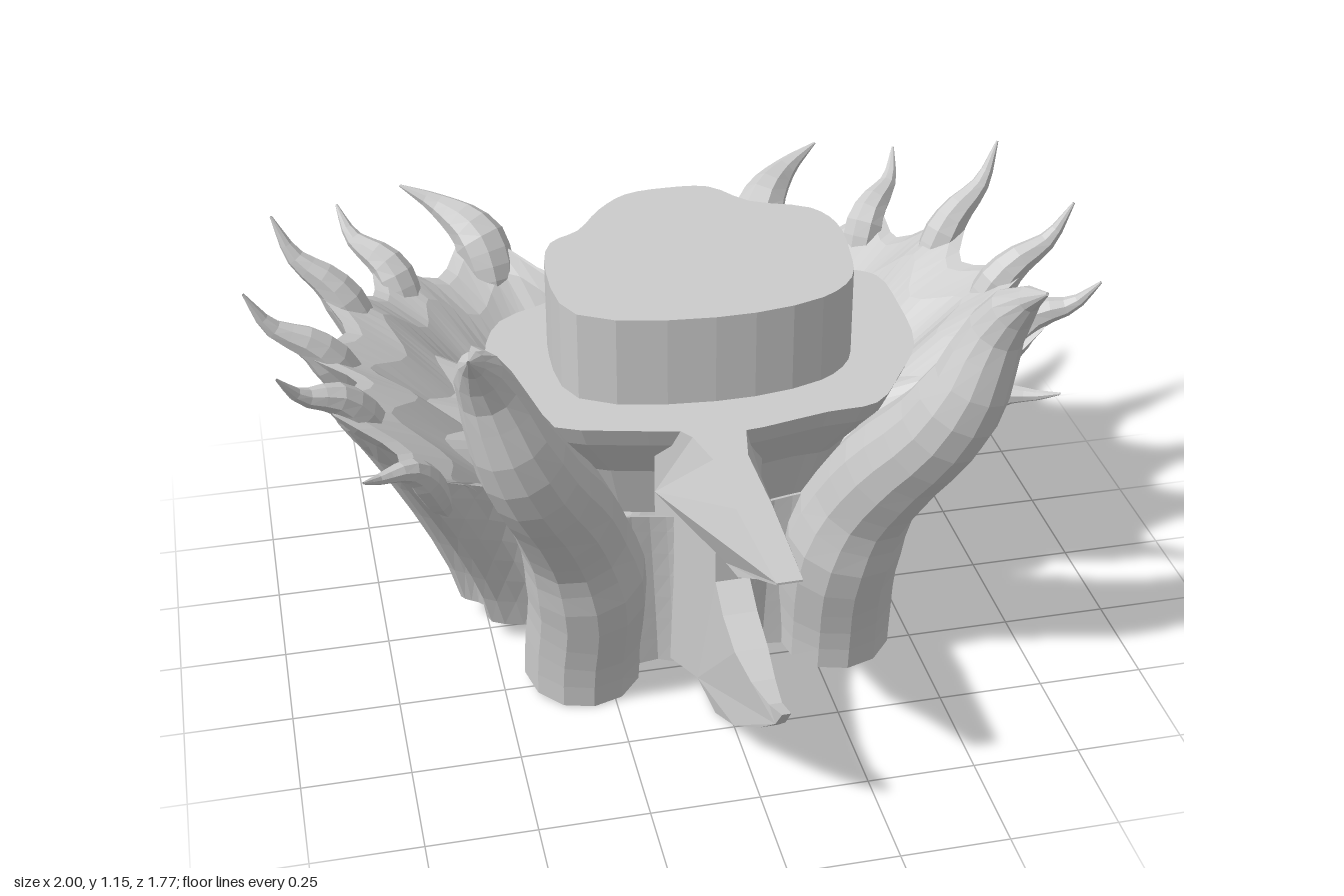
import * as THREE from 'three';

const material = new THREE.MeshStandardMaterial({ color: 0xcccccc, flatShading: true, side: THREE.DoubleSide });
const V = (x, y, z) => new THREE.Vector3(x, y, z);
const floorAt = z => Math.max(0, 0.053 - 0.155 * z); // slanted underside
const CENTRE_Z = -0.15;

function mesh(name, geometry) {
  const m = new THREE.Mesh(geometry, material);
  m.name = name;
  return m;
}

// Skin closed rings of equal length, in order from underside to top.
function loft(rings) {
  const n = rings[0].length, index = [];
  for (let j = 0; j < rings.length - 1; j++) {
    for (let i = 0; i < n; i++) {
      const k = (i + 1) % n, a = j * n + i, b = j * n + k, c = a + n, d = b + n;
      index.push(a, b, d, a, d, c);
    }
  }
  const g = new THREE.BufferGeometry().setFromPoints(rings.flat());
  g.setIndex(index);
  g.computeVertexNormals();
  return g;
}

// Tube whose radius follows a list; optionally cut off at the underside.
function taperedTube(points, radii, segments, sides, cut = false) {
  const curve = new THREE.CatmullRomCurve3(points);
  const g = new THREE.TubeGeometry(curve, segments, 1, sides, false);
  const p = g.attributes.position, v = V(0, 0, 0);
  for (let i = 0; i < p.count; i++) {
    const u = Math.floor(i / (sides + 1)) / segments;
    const f = u * (radii.length - 1), k = Math.min(Math.floor(f), radii.length - 2);
    const r = THREE.MathUtils.lerp(radii[k], radii[k + 1], f - k);
    const c = curve.getPointAt(u);
    v.fromBufferAttribute(p, i).sub(c).multiplyScalar(r).add(c);
    if (cut) v.y = Math.max(v.y, floorAt(v.z));
    p.setXYZ(i, v.x, v.y, v.z);
  }
  g.computeVertexNormals();
  return g;
}

// Thin blade from a (z, y) side profile, widening towards the body.
function blade(profile, tipWidth) {
  const shape = new THREE.Shape(profile.map(([z, y]) => new THREE.Vector2(z, y)));
  const g = new THREE.ExtrudeGeometry(shape, { depth: 0.08, bevelEnabled: false });
  g.translate(0, 0, -0.04).rotateY(-Math.PI / 2);
  const p = g.attributes.position;
  for (let i = 0; i < p.count; i++) {
    const z = p.getZ(i);
    const taper = THREE.MathUtils.lerp(1, tipWidth, THREE.MathUtils.smoothstep(z, 0.55, 0.88));
    p.setX(i, p.getX(i) * taper * (1 + 55 * Math.max(0, 0.4 - z) ** 2));
  }
  g.computeVertexNormals();
  return g;
}

// Body half: rim x, y, z, then base x, z, running from front to back.
const SECTIONS = [
  [0, 0.44, 0.28, 0, 0.33], [0.15, 0.44, 0.24, 0.13, 0.23], [0.32, 0.48, 0.26, 0.32, 0.28],
  [0.43, 0.50, 0.20, 0.42, 0.17], [0.51, 0.52, 0.15, 0.36, 0.08], [0.72, 0.64, 0.25, 0.50, 0.03],
  [0.71, 0.65, 0.17, 0.51, -0.03], [0.86, 0.76, 0.10, 0.56, -0.07], [0.77, 0.73, -0.03, 0.54, -0.13],
  [0.89, 0.77, -0.14, 0.575, -0.19], [0.77, 0.73, -0.27, 0.555, -0.26], [0.82, 0.79, -0.40, 0.57, -0.32],
  [0.68, 0.69, -0.51, 0.55, -0.39], [0.66, 0.72, -0.62, 0.53, -0.46], [0.50, 0.64, -0.66, 0.44, -0.51],
  [0.40, 0.70, -0.78, 0.30, -0.55], [0.19, 0.64, -0.58, 0.14, -0.48], [0, 0.63, -0.52, 0, -0.46],
];

// Wall between base and rim, flaring upwards, pulled in by the given dent.
const wallPoint = (rim, base, s, dent = 0) => {
  const h = Math.pow(s, 1.25), k = 1 - dent * Math.sin(Math.PI * s);
  return V((base.x + (rim.x - base.x) * h) * k, base.y + (rim.y - base.y) * s,
    CENTRE_Z + (base.z + (rim.z - base.z) * h - CENTRE_Z) * k);
};

function bodyGeometry() {
  const rimCurve = new THREE.CatmullRomCurve3(SECTIONS.map(s => V(s[0], s[1], s[2])));
  const baseCurve = new THREE.CatmullRomCurve3(SECTIONS.map(s => V(s[3], floorAt(s[4]), s[4])));
  const last = SECTIONS.length - 1, n = last * 4;
  const around = f => {
    const half = Array.from({ length: n + 1 }, (_, i) => {
      const k = i / 4; // grooves lie at the even sections between the spikes
      const dent = k > 5 && k < 15 ? 0.035 * (1 + Math.cos(Math.PI * k)) : 0;
      return f(rimCurve.getPoint(i / n), baseCurve.getPoint(i / n), dent);
    });
    const other = half.slice(1, -1).reverse().map(p => V(-p.x, p.y, p.z));
    return [...half, ...other];
  };
  const inward = (k, drop) => around(r => V(r.x * k, r.y - drop, CENTRE_Z + (r.z - CENTRE_Z) * k));
  const walls = [0, 0.15, 0.3, 0.45, 0.6, 0.75, 0.9, 1].map(s => around((r, b, d) => wallPoint(r, b, s, d)));
  return loft([
    around(() => V(0, floorAt(CENTRE_Z), CENTRE_Z)), ...walls,
    inward(0.95, 0.01), inward(0.82, 0.07), inward(0.68, 0.18), around(() => V(0, 0.36, CENTRE_Z)),
  ]);
}

// Spikes: section index, bend, tip, thickness.
const SPIKES = [
  [5, V(0.765, 0.665, 0.285), V(0.80, 0.69, 0.33), 0.04],
  [7, V(0.905, 0.80, 0.12), V(0.955, 0.87, 0.155), 0.052],
  [9, V(0.945, 0.835, -0.145), V(1.0, 0.93, -0.14), 0.052],
  [11, V(0.865, 0.87, -0.415), V(0.91, 0.97, -0.44), 0.052],
  [13, V(0.705, 0.775, -0.67), V(0.735, 0.84, -0.735), 0.052],
  [15, V(0.465, 0.76, -0.83), V(0.56, 0.81, -0.87), 0.07],
];

function spikeGeometry([k, bend, tip, r]) {
  const [x, y, z, bx, bz] = SECTIONS[k];
  const rim = V(x, y, z), base = V(bx, floorAt(bz), bz);
  const inset = (p, f) => V(p.x * f, p.y, CENTRE_Z + (p.z - CENTRE_Z) * f);
  return taperedTube([inset(wallPoint(rim, base, 0.7), 0.94), inset(rim, 0.95), bend, tip],
    [r * 0.4, r * 0.9, r, r * 0.7, r * 0.35, 0.003], 12, 8);
}

const FANG = [[0.31, -0.2, 0.2], [0.31, 0.1, 0.22], [0.305, 0.3, 0.27], [0.335, 0.45, 0.31],
  [0.385, 0.6, 0.39], [0.455, 0.75, 0.485], [0.505, 0.87, 0.52], [0.54, 0.98, 0.525],
  [0.575, 1.08, 0.57], [0.6, 1.15, 0.66]].map(p => V(...p));

// Flat outlines (x, z), clockwise from the back.
const PLATE = [[0.056, -0.67], [0.135, -0.64], [0.22, -0.56], [0.35, -0.43], [0.51, -0.395],
  [0.565, -0.35], [0.575, -0.2], [0.555, 0], [0.48, 0.13], [0.39, 0.245], [0.27, 0.26], [0.04, 0.3],
  [-0.035, 0.28], [-0.4, 0.17], [-0.45, 0.05], [-0.46, -0.16], [-0.4, -0.32], [-0.24, -0.41],
  [-0.16, -0.53], [-0.05, -0.64]];
const PLUG = [[0.056, -0.515], [0.16, -0.5], [0.24, -0.4], [0.38, -0.33], [0.42, -0.24], [0.41, -0.08],
  [0.38, 0.04], [0.29, 0.12], [0.03, 0.16], [-0.275, 0.08], [-0.31, -0.13], [-0.275, -0.28],
  [-0.2, -0.33], [-0.13, -0.43], [-0.05, -0.5]];

// Stack an outline at [height, scale] levels.
function slab(outline, levels) {
  const curve = new THREE.CatmullRomCurve3(outline.map(([x, z]) => V(x, 0, z)).reverse(), true);
  const pts = curve.getPoints(outline.length * 3).slice(0, -1);
  return loft(levels.map(([y, k]) => pts.map(p =>
    V(0.05 + (p.x - 0.05) * k, y, -0.18 + (p.z + 0.18) * k))));
}

export function createModel() {
  const group = new THREE.Group();
  const claws = new THREE.Group();
  claws.name = 'clawBase';
  claws.rotation.y = 0.02;
  claws.add(mesh('body', bodyGeometry()));

  // Mirrored fangs and rim spikes
  for (const side of [1, -1]) {
    const half = new THREE.Group();
    half.name = side > 0 ? 'leftClaws' : 'rightClaws';
    half.scale.x = side;
    half.add(mesh('fang', taperedTube(FANG,
      [0, 0.14, 0.14, 0.14, 0.14, 0.125, 0.12, 0.11, 0.1, 0.078, 0.052, 0.004], 22, 12, true)));
    SPIKES.forEach(s => half.add(mesh('spike', spikeGeometry(s))));
    claws.add(half);
  }

  // Front blades
  claws.add(mesh('upperSpur', blade([[0.2, 0.48], [0.3, 0.48], [0.45, 0.48], [0.52, 0.485], [0.62, 0.515],
    [0.75, 0.6], [0.88, 0.675], [0.88, 0.68], [0.6, 0.68], [0.4, 0.68], [0.3, 0.68], [0.2, 0.68]], 0.7)));
  claws.add(mesh('lowerHorn', blade([[0.2, 0.03], [0.32, 0.015], [0.44, 0], [0.6, 0.09], [0.75, 0.2],
    [0.84, 0.28], [0.885, 0.34], [0.8, 0.302], [0.7, 0.288], [0.6, 0.297], [0.5, 0.325], [0.43, 0.37],
    [0.43, 0.48], [0.3, 0.48], [0.2, 0.48]], 0.25)));
  group.add(claws);

  // Plate with tapered neck, and raised plug
  group.add(mesh('plate', slab(PLATE, [[0.36, 0], [0.36, 0.68], [0.5, 0.76], [0.63, 0.96], [0.68, 1], [0.68, 0]])));
  group.add(mesh('plug', slab(PLUG, [[0.66, 0], [0.66, 1], [0.9, 1], [0.9, 0]])));
  return group;
}
